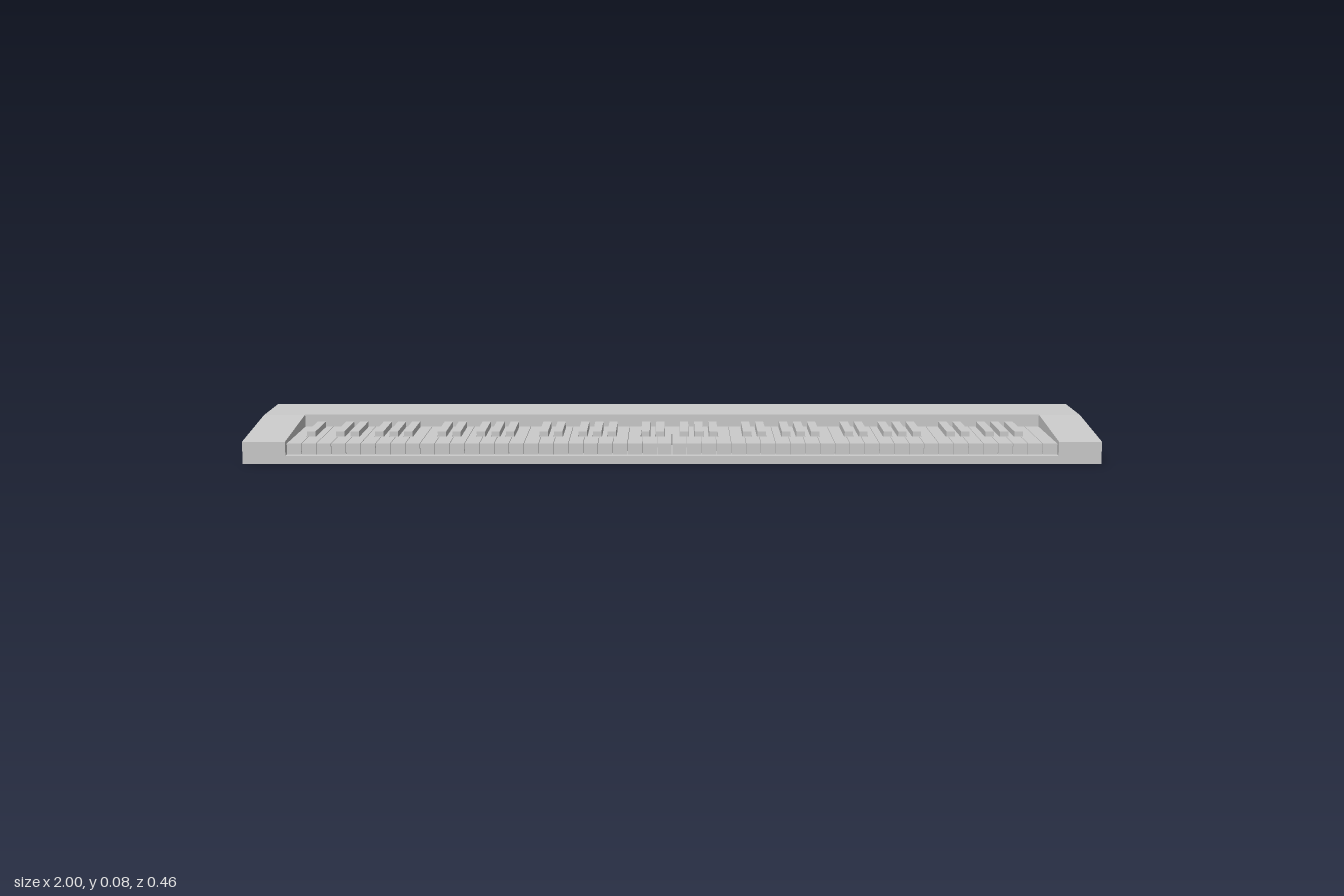
import * as THREE from 'three';

const material = new THREE.MeshStandardMaterial({ color: 0xcccccc, flatShading: true });

const KEYS_HALF = 0.9;            // half width of the keyboard opening
const BACK = -0.228, FRONT = 0.228;
const KEY_BACK = -0.045, WHITE_FRONT = 0.21, BLACK_FRONT = 0.11;
const BED_Y = 0.02, WHITE_Y = 0.046, BLACK_Y = 0.058, TOP_Y = 0.075;
const PITCH = (2 * KEYS_HALF) / 52;
const BLACK_W = 0.02, GAP = 0.0012, CLEAR = 0.003;

function addMesh(parent, name, geometry) {
  const mesh = new THREE.Mesh(geometry, material);
  mesh.name = name;
  parent.add(mesh);
}

// Extrudes a [z, y] side profile along x from x0 to x1
function sideExtrude(points, x0, x1) {
  const shape = new THREE.Shape(points.map(([z, y]) => new THREE.Vector2(z, y)));
  const geo = new THREE.ExtrudeGeometry(shape, { depth: x1 - x0, bevelEnabled: false });
  return geo.rotateY(-Math.PI / 2).translate(x1, 0, 0);
}

// Extrudes an [x, z] plan outline upward from y0 to y1
function planExtrude(points, y0, y1) {
  const shape = new THREE.Shape(points.map(([x, z]) => new THREE.Vector2(x, -z)));
  const geo = new THREE.ExtrudeGeometry(shape, { depth: y1 - y0, bevelEnabled: false });
  return geo.rotateX(-Math.PI / 2).translate(0, y0, 0);
}

// Centre of the black key at the right edge of white key i, or null (i = 0 is an A)
function blackCentre(i) {
  if (i < 0 || i >= 51) return null;
  const note = (i + 5) % 7; // 0 = C ... 6 = B
  if (note === 2 || note === 6) return null;
  const shift = i === 0 ? 0.006 : note < 2 ? 0.006 : -0.005;
  return -KEYS_HALF + (i + 1) * PITCH + shift;
}

export function createModel() {
  const model = new THREE.Group();
  model.name = 'digitalPiano';

  // Case: sloping cheeks either side of a stepped centre section
  const body = new THREE.Group();
  body.name = 'case';
  model.add(body);
  const cheek = [[BACK, 0], [FRONT, 0], [FRONT, 0.053], [-0.04, TOP_Y], [BACK, TOP_Y]];
  addMesh(body, 'rightCheek', sideExtrude(cheek, -1, -KEYS_HALF));
  addMesh(body, 'leftCheek', sideExtrude(cheek, KEYS_HALF, 1));
  addMesh(body, 'backPanelAndKeyBed', sideExtrude([
    [BACK, 0], [FRONT, 0], [FRONT, BED_Y], [KEY_BACK, BED_Y], [KEY_BACK, TOP_Y], [BACK, TOP_Y],
  ], -KEYS_HALF, KEYS_HALF));

  const whites = new THREE.Group();
  whites.name = 'whiteKeys';
  const blacks = new THREE.Group();
  blacks.name = 'blackKeys';
  model.add(whites, blacks);

  for (let i = 0; i < 52; i++) {
    // White key, cut back around its neighbouring black keys
    const x0 = -KEYS_HALF + i * PITCH + GAP / 2;
    const x1 = x0 + PITCH - GAP;
    const before = blackCentre(i - 1), after = blackCentre(i);
    const inset = BLACK_W / 2 + CLEAR / 2;
    const left = before === null ? x0 : Math.max(x0, before + inset);
    const right = after === null ? x1 : Math.min(x1, after - inset);
    const step = BLACK_FRONT + CLEAR / 2;
    const outline = [[x0, WHITE_FRONT], [x1, WHITE_FRONT]];
    if (right < x1) outline.push([x1, step], [right, step]);
    outline.push([right, KEY_BACK], [left, KEY_BACK]);
    if (left > x0) outline.push([left, step], [x0, step]);
    addMesh(whites, 'whiteKey', planExtrude(outline, BED_Y, WHITE_Y));

    // Black key
    if (after !== null) {
      const geo = new THREE.BoxGeometry(BLACK_W, BLACK_Y - BED_Y, BLACK_FRONT - KEY_BACK);
      geo.translate(after, (BLACK_Y + BED_Y) / 2, (BLACK_FRONT + KEY_BACK) / 2);
      addMesh(blacks, 'blackKey', geo);
    }
  }
  return model;
}
